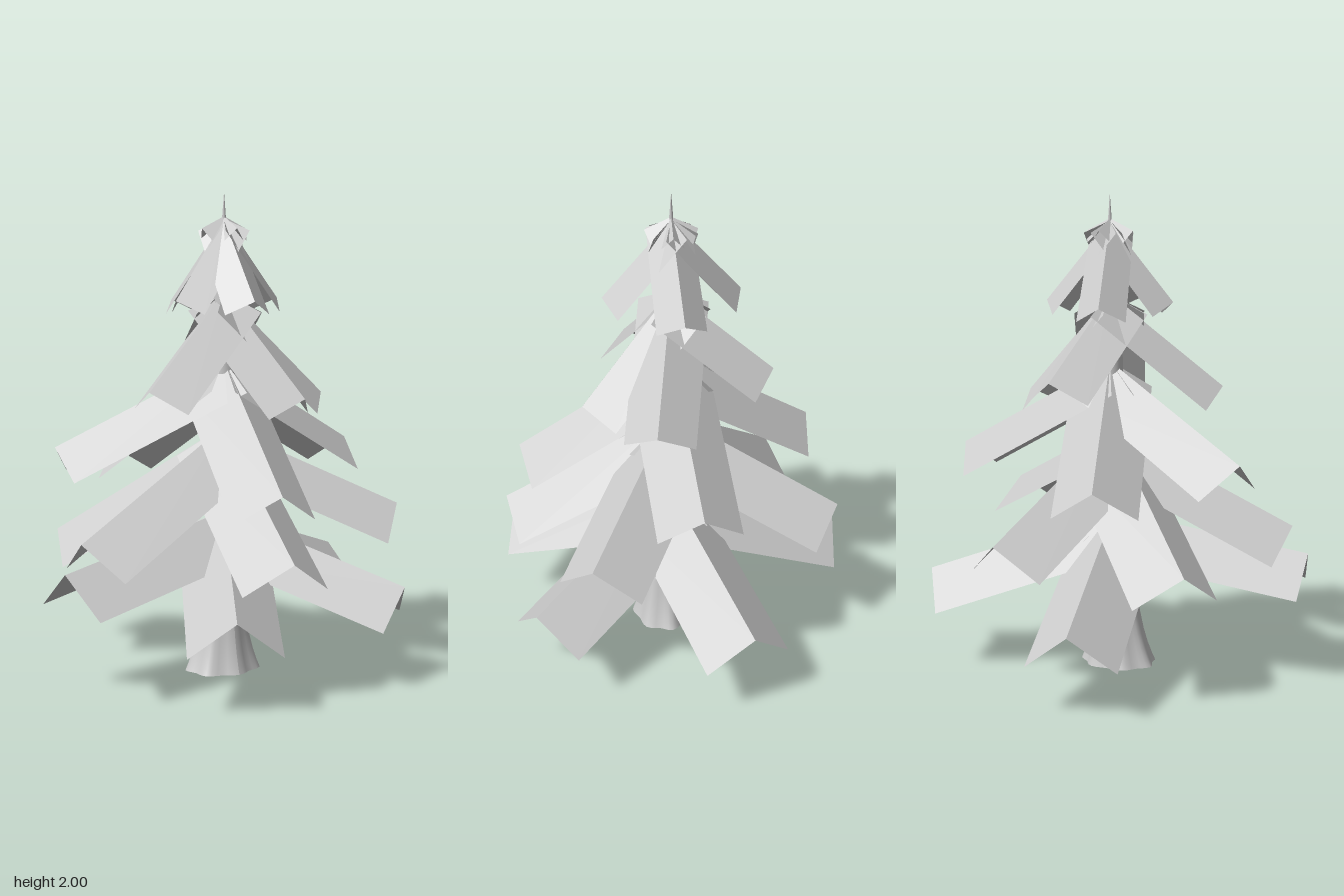
import * as THREE from 'three';

const smooth = new THREE.MeshStandardMaterial({ color: 0xcccccc, side: THREE.DoubleSide });
const faceted = new THREE.MeshStandardMaterial({ color: 0xcccccc, side: THREE.DoubleSide, flatShading: true });

// The trunk axis leans slightly as it rises
const axisAt = y => {
  const k = Math.min(1, y / 1.2);
  return new THREE.Vector3(0.015 + 0.025 * k, y, 0.045 - 0.035 * k);
};

// A folded strip along +z: a straight ridge with a wing sloping down on each side
function foldedStrip(length, width, drop, taper) {
  const corner = (side, scale, z) => new THREE.Vector3(side * width * scale, -Math.abs(side) * drop * scale, z);
  const root = corner(0, 1, 0), tip = corner(0, 1, length);
  const [leftIn, rightIn] = [-1, 1].map(s => corner(s, taper, 0));
  const [leftOut, rightOut] = [-1, 1].map(s => corner(s, 1, length));
  const geo = new THREE.BufferGeometry().setFromPoints([
    leftIn, leftOut, tip, leftIn, tip, root,
    root, tip, rightOut, root, rightOut, rightIn,
  ]);
  geo.computeVertexNormals();
  return geo;
}

// A ring of boughs running from one point on the trunk to the given ridge tips
function makeTier(name, rootY, width, drop, taper, tips) {
  const tier = new THREE.Group();
  tier.name = name;
  const root = axisAt(rootY);
  tips.forEach(([x, y, z], i) => {
    const tip = new THREE.Vector3(x, y, z);
    const bough = new THREE.Mesh(foldedStrip(root.distanceTo(tip), width, drop, taper), faceted);
    bough.name = `bough${i + 1}`;
    bough.position.copy(root);
    bough.lookAt(tip);
    tier.add(bough);
  });
  return tier;
}

// Lathed trunk, open below, with a flared, lobed foot that is wider than deep
function makeTrunk() {
  const profile = [];
  for (let i = 0; i <= 16; i++) {
    const y = 1.78 * (i / 16) ** 1.5;
    profile.push(new THREE.Vector2(0.08 - 0.02 * y + 0.07 * Math.exp(-y / 0.18), y));
  }
  const geo = new THREE.LatheGeometry(profile, 42);
  const pos = geo.attributes.position;
  for (let i = 0; i < pos.count; i++) {
    const x = pos.getX(i), y = pos.getY(i), z = pos.getZ(i);
    const flare = Math.max(0, 1 - y / 0.5);
    const lobe = 1 + 0.06 * flare * Math.cos(7 * Math.atan2(x, z));
    const c = axisAt(y);
    pos.setXYZ(i, x * lobe * (1 + 0.06 * flare) + c.x, y, z * lobe * (1 - 0.13 * flare) + c.z);
  }
  geo.computeVertexNormals();
  const trunk = new THREE.Mesh(geo, smooth);
  trunk.name = 'trunk';
  return trunk;
}

export function createModel() {
  const tree = new THREE.Group();
  tree.name = 'tree';
  tree.add(makeTrunk());

  // Boughs from the ground up, each tier shorter and steeper
  tree.add(makeTier('bottomBoughs', 0.67, 0.185, 0.158, 1, [
    [-0.78, 0.53, 0.2], [-0.14, 0.35, -0.74], [0.77, 0.4, -0.26], [0.55, 0.4, 0.6], [-0.31, 0.39, 0.7]]));
  tree.add(makeTier('lowerBoughs', 1.03, 0.18, 0.15, 1, [
    [-0.71, 0.64, 0.2], [-0.51, 0.56, -0.48], [0.21, 0.65, -0.68], [0.68, 0.7, 0.37], [-0.07, 0.59, 0.72]]));
  tree.add(makeTier('middleBoughs', 1.31, 0.17, 0.138, 1, [
    [-0.63, 0.96, -0.22], [-0.18, 0.88, -0.6], [0.71, 0.93, -0.06], [-0.08, 0.84, 0.65]]));
  tree.add(makeTier('upperBoughs', 1.59, 0.143, 0.107, 1, [
    [-0.4, 1.21, 0.18], [0.47, 1.16, 0.1], [0.2, 1.17, 0.38], [0.11, 1.26, -0.4]]));
  tree.add(makeTier('topBoughs', 1.89, 0.1, 0.085, 0.9, [
    [-0.22, 1.56, 0.07], [0.32, 1.56, -0.02], [-0.05, 1.55, -0.28], [0.02, 1.56, 0.285]]));

  // Small leaves crowning the trunk
  const crownTips = [0, 1, 2, 3].map(i => {
    const angle = i * Math.PI / 2;
    return [0.04 + 0.105 * Math.cos(angle), 1.85, 0.01 + 0.105 * Math.sin(angle)];
  });
  tree.add(makeTier('crownLeaves', 1.9, 0.045, 0.055, 0.1, crownTips));

  // Thin leader at the very top
  const spike = new THREE.Mesh(new THREE.ConeGeometry(0.011, 0.14, 8), smooth);
  spike.name = 'spike';
  spike.position.set(0.04, 1.93, 0.01);
  tree.add(spike);
  return tree;
}
